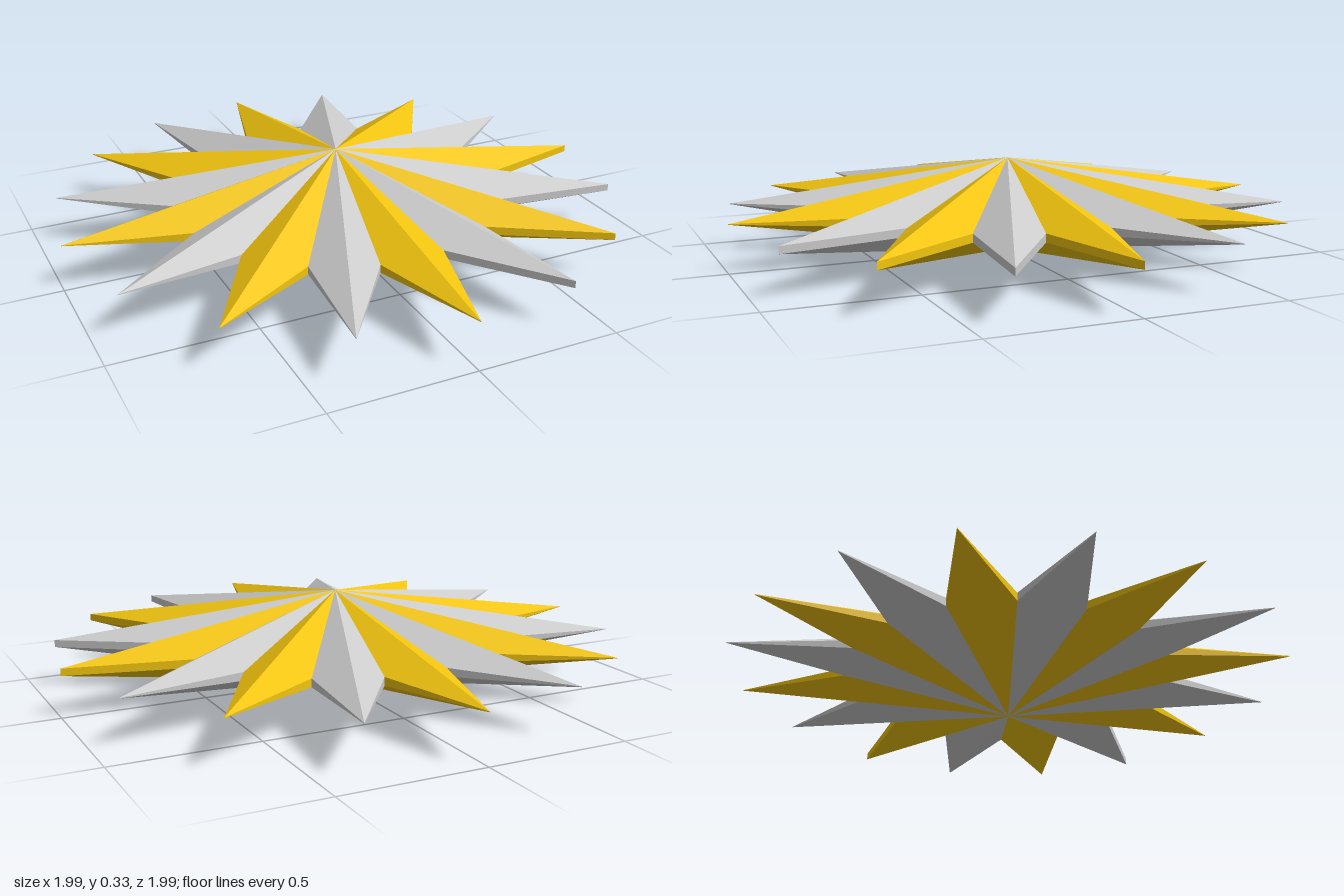
import * as THREE from 'three';

const RAYS = 16;
const STEP = (Math.PI * 2) / RAYS;

// Point at an angle measured from +x towards +z
const polar = (angle, radius, y) => [Math.cos(angle) * radius, y, Math.sin(angle) * radius];

// One ray: ridged top and bottom, joined by a thin rim
function rayGeometry(angle, tipAngle, tipBottom) {
  const a0 = angle - STEP / 2, a1 = angle + STEP / 2;
  const rv = 0.587, rt = 0.995;
  const apex = [0, 0.332, 0], base = [0, 0, 0];
  const top = [polar(a0, rv, 0.176), polar(tipAngle, rt, 0.168), polar(a1, rv, 0.176)];
  const low = [polar(a0, rv, 0.147), polar(tipAngle, rt, tipBottom), polar(a1, rv, 0.147)];
  const points = [];
  for (let i = 0; i < 2; i++) {
    points.push(apex, top[i + 1], top[i]);       // upper facet
    points.push(base, low[i], low[i + 1]);       // lower facet
    points.push(top[i], top[i + 1], low[i + 1]); // rim
    points.push(top[i], low[i + 1], low[i]);
  }
  const geometry = new THREE.BufferGeometry();
  geometry.setAttribute('position', new THREE.Float32BufferAttribute(points.flat(), 3));
  geometry.computeVertexNormals();
  return geometry;
}

export function createModel() {
  const group = new THREE.Group();
  group.name = 'sixteenPointStar';
  const gold = new THREE.MeshStandardMaterial({ color: 0xf1c40f, flatShading: true, side: THREE.DoubleSide });
  const grey = new THREE.MeshStandardMaterial({ color: 0xcccccc, flatShading: true, side: THREE.DoubleSide });

  for (let i = 0; i < RAYS; i++) {
    const isGold = i % 2 === 0;
    const angle = i * STEP;
    // Grey tips lean slightly; the first four tips are blunt, the rest sharp
    const tipAngle = isGold ? angle : angle - 0.011;
    const tipBottom = i < 4 ? 0.143 : 0.166;
    const ray = new THREE.Mesh(rayGeometry(angle, tipAngle, tipBottom), isGold ? gold : grey);
    ray.name = isGold ? 'goldRay' : 'greyRay';
    group.add(ray);
  }
  return group;
}
